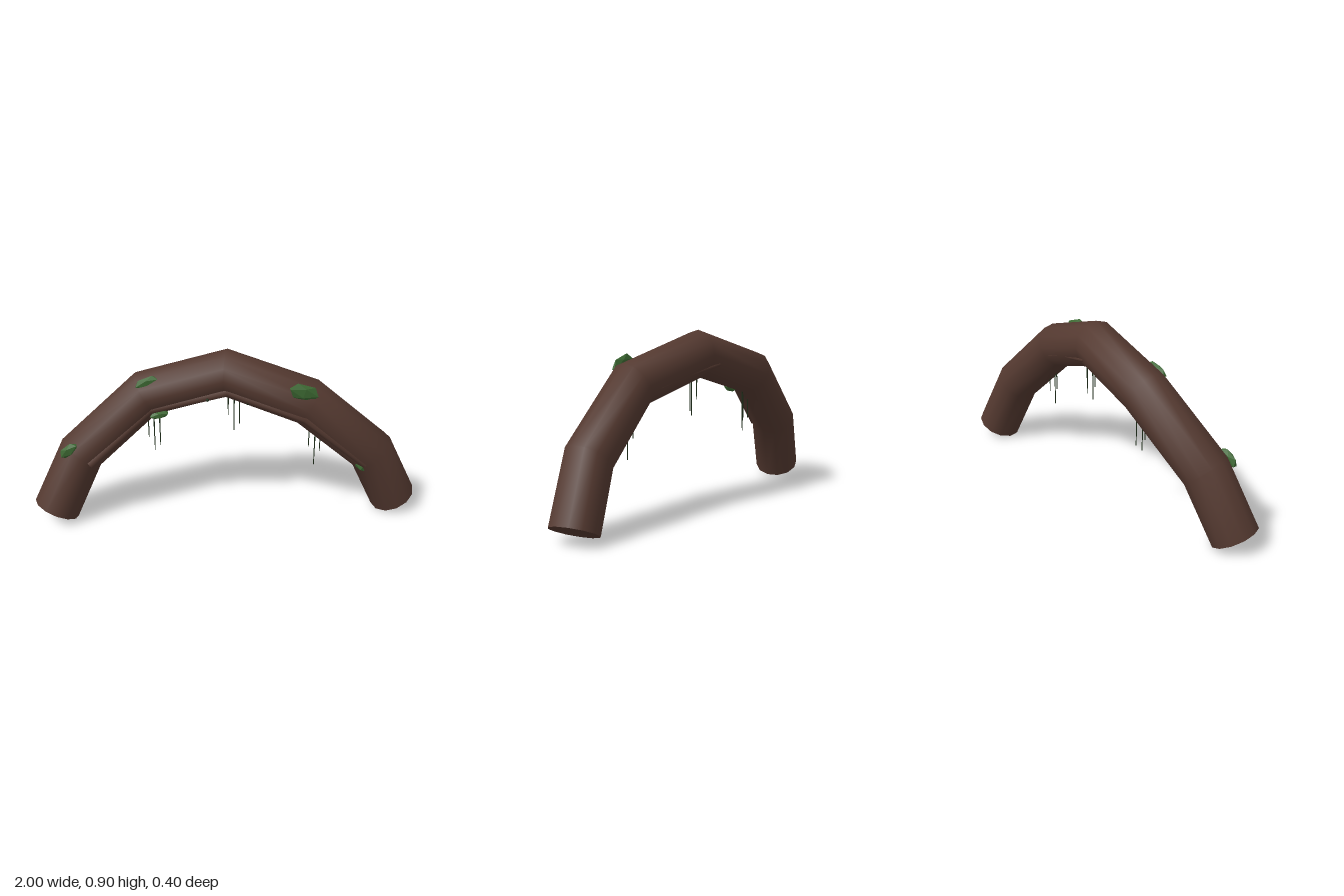
import * as THREE from 'three';

const mat = (name, color, extra = {}) => {
  const m = new THREE.MeshStandardMaterial({ color, ...extra });
  m.name = name;
  return m;
};

// Curve made of straight runs, so the tube rings sit exactly on the given points
class BentPath extends THREE.Curve {
  constructor(points) {
    super();
    this.points = points.map(p => new THREE.Vector3(...p));
  }
  getPoint(t, target = new THREE.Vector3()) {
    const n = this.points.length - 1;
    const i = Math.min(Math.floor(t * n + 1e-6), n - 1);
    return target.lerpVectors(this.points[i], this.points[i + 1], t * n - i);
  }
  getPointAt(u, target) { return this.getPoint(u, target); }
  getTangentAt(u, target = new THREE.Vector3()) {
    const n = this.points.length - 1, i = Math.round(u * n);
    const a = this.points[Math.max(i - 1, 0)], b = this.points[Math.min(i + 1, n)];
    return target.subVectors(b, a).normalize();
  }
}

const tube = (points, radius, sides) =>
  new THREE.TubeGeometry(new BentPath(points), points.length - 1, radius, sides);

// Flat cap closing one end ring of a tube
function capGeometry(tubeGeo, ring, sides, flip) {
  const p = tubeGeo.attributes.position, pos = [];
  const at = j => new THREE.Vector3().fromBufferAttribute(p, ring * (sides + 1) + j);
  const c = at(0).add(at(sides / 2)).multiplyScalar(0.5);
  for (let j = 0; j < sides; j++) {
    const pair = flip ? [at(j + 1), at(j)] : [at(j), at(j + 1)];
    for (const v of [c, ...pair]) pos.push(v.x, v.y, v.z);
  }
  const g = new THREE.BufferGeometry();
  g.setAttribute('position', new THREE.Float32BufferAttribute(pos, 3));
  g.computeVertexNormals();
  return g;
}

export function createModel() {
  const model = new THREE.Group();
  model.name = 'archedRoot';
  const bark = mat('bark brown', 0x543930);
  const moss = mat('moss green', 0x3c6832, { flatShading: true });
  const strandMat = mat('strand dark green', 0x1f2e1a);

  const add = (name, geo, material, parent = model) => {
    const m = new THREE.Mesh(geo, material);
    m.name = name;
    parent.add(m);
    return m;
  };

  // Main arch
  const spine = [
    [-0.892, 0.06, 0.018], [-0.745, 0.36, -0.035], [-0.402, 0.66, -0.083], [0, 0.785, -0.022],
    [0.402, 0.66, 0.077], [0.745, 0.36, 0.058], [0.892, 0.06, 0.018],
  ];
  const SIDES = 12;
  const trunk = tube(spine, 0.12, SIDES);
  add('trunk', trunk, bark);
  add('rightEnd', capGeometry(trunk, 0, SIDES, false), bark);
  add('leftEnd', capGeometry(trunk, spine.length - 1, SIDES, true), bark);

  // Thin roots half sunk into the underside
  add('frontRoot', tube([
    [-0.70, 0.335, 0.065], [-0.385, 0.605, 0.008], [0, 0.72, 0.075],
    [0.375, 0.605, 0.17], [0.70, 0.325, 0.145],
  ], 0.02, 6), bark);
  add('backRoot', tube([
    [0.34, 0.645, -0.038], [0.18, 0.69, -0.075], [-0.03, 0.735, -0.13],
  ], 0.012, 6), bark);

  // Moss clumps: centre, half sizes, tilt
  const clumps = [
    [[-0.80, 0.415, 0.055], [0.06, 0.032, 0.02], 0.65],
    [[-0.395, 0.75, -0.005], [0.07, 0.03, 0.02], 0.35],
    [[0.365, 0.75, 0.17], [0.085, 0.045, 0.018], -0.3],
    [[-0.34, 0.575, 0.0], [0.055, 0.022, 0.025], 0.2],
    [[0.682, 0.302, 0.125], [0.042, 0.018, 0.03], -0.7],
  ];
  for (const [pos, size, tilt] of clumps) {
    const m = add('mossClump', new THREE.IcosahedronGeometry(1, 0), moss);
    m.position.set(...pos);
    m.scale.set(...size);
    m.rotation.z = tilt;
  }

  // Hanging strands in three groups: x, top, z and the height of each tip
  const groups = [
    [-0.368, 0.57, -0.075, [0.41, 0.34, 0.36]],
    [0.04, 0.69, -0.02, [0.55, 0.47, 0.50]],
    [0.445, 0.54, 0.07, [0.40, 0.30, 0.37]],
  ];
  for (const [x, top, z, tips] of groups) {
    const g = new THREE.Group();
    g.name = 'hangingStrands';
    model.add(g);
    tips.forEach((tip, i) => {
      const s = add('strand', new THREE.CylinderGeometry(0.004, 0.002, top - tip, 5), strandMat, g);
      s.position.set(x + (i - 1) * 0.029, (top + tip) / 2, z + (i % 2) * 0.012);
    });
  }

  // Small beads under the crown
  for (const [x, y, z] of [[-0.1, 0.69, 0.092], [0.1, 0.66, 0.08]]) {
    add('bead', new THREE.SphereGeometry(0.008, 8, 6), strandMat).position.set(x, y, z);
  }
  return model;
}
